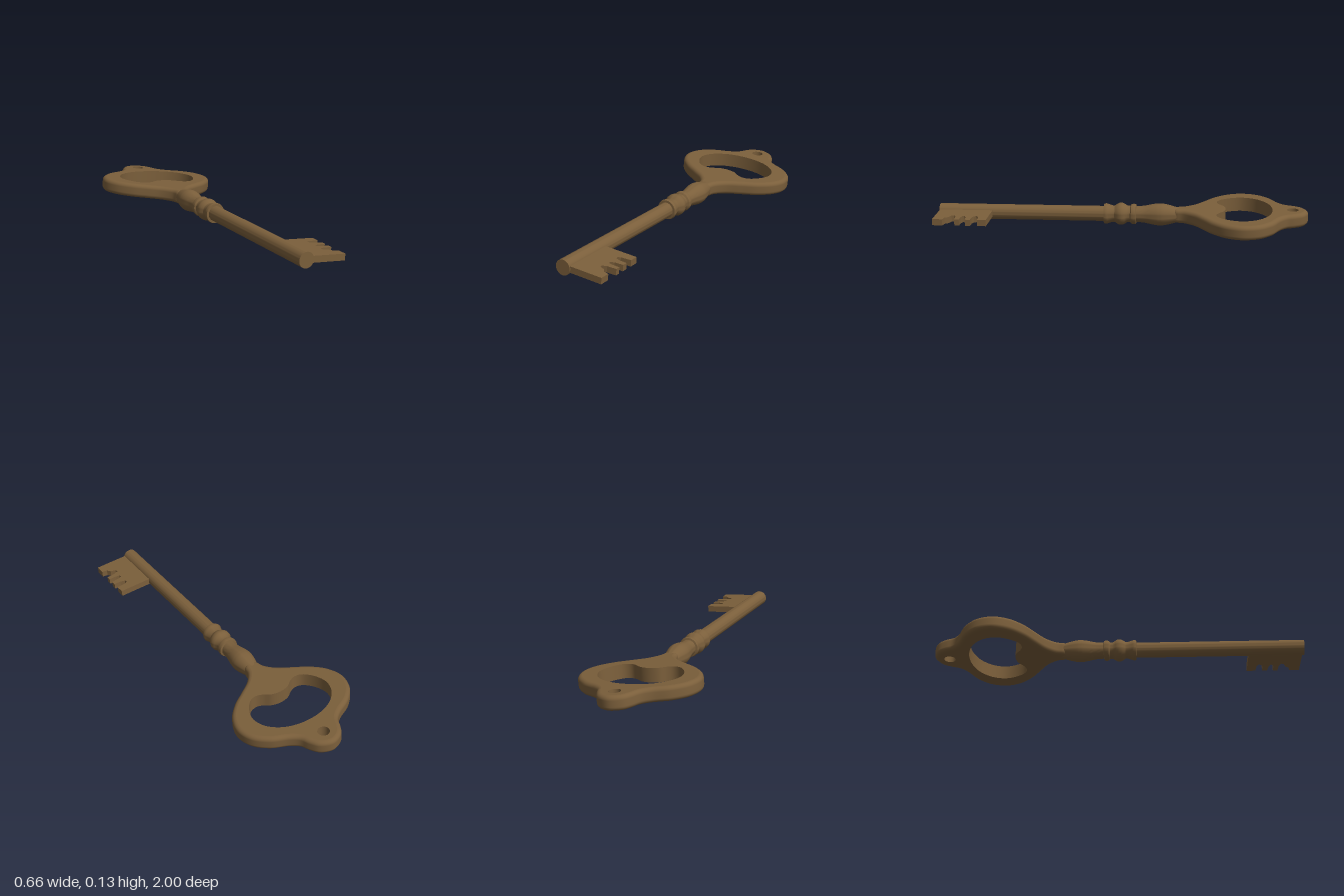
import * as THREE from 'three';
import { toCreasedNormals } from 'three/addons/utils/BufferGeometryUtils.js';

const AXIS_Y = 0.065, TILT = -0.087, HALF = 0.038, ROUND = 0.022;

// closed smooth loop through the right half of a symmetric outline, counter-clockwise
function mirroredLoop(half, count) {
  const left = half.filter(p => p[0] > 0.001).reverse().map(([x, y]) => [-x, y]);
  const pts = [...half, ...left].map(([x, y]) => new THREE.Vector3(x, y, 0));
  const loop = new THREE.CatmullRomCurve3(pts, true, 'centripetal').getSpacedPoints(count);
  loop.pop();
  return loop.map(p => new THREE.Vector2(p.x, p.y));
}

// move a counter-clockwise loop inwards
function inset(loop, d) {
  const n = loop.length;
  return loop.map((p, i) => {
    const t = loop[(i + 1) % n].clone().sub(loop[(i + n - 1) % n]).normalize();
    return new THREE.Vector2(p.x - t.y * d, p.y + t.x * d);
  });
}

// skin through a stack of loops, each { loop, z }
function loft(rings) {
  const pos = [], idx = [], n = rings[0].loop.length;
  rings.forEach(({ loop, z }) => loop.forEach(p => pos.push(p.x, p.y, z)));
  for (let r = 0; r < rings.length - 1; r++) {
    for (let i = 0; i < n; i++) {
      const j = (i + 1) % n, a = r * n + i, b = r * n + j;
      idx.push(a, b, b + n, a, b + n, a + n);
    }
  }
  const g = new THREE.BufferGeometry();
  g.setAttribute('position', new THREE.Float32BufferAttribute(pos, 3));
  g.setIndex(idx);
  g.computeVertexNormals();
  return g;
}

export function createModel() {
  const brass = new THREE.MeshStandardMaterial({ color: 0x7b5f3b });
  brass.name = 'aged brass';
  const model = new THREE.Group();
  model.name = 'key';
  const body = new THREE.Group();
  body.name = 'keyBody';
  body.position.y = AXIS_Y;
  body.rotation.z = TILT;
  model.add(body);

  const add = (name, geometry, parent = body) => {
    const mesh = new THREE.Mesh(geometry, brass);
    mesh.name = name;
    parent.add(mesh);
    return mesh;
  };
  const turned = (name, profile) => {
    const g = new THREE.LatheGeometry(profile.map(([r, z]) => new THREE.Vector2(r, z)), 40);
    g.rotateX(Math.PI / 2);
    add(name, toCreasedNormals(g, 0.6));
  };

  // shaft with flat end
  turned('shaft', [[0.041, 0.05], [0.041, 1], [0, 1]]);

  // three turned collars
  turned('collars', [
    [0.042, -0.08], [0.053, -0.077], [0.056, -0.065], [0.053, -0.052], [0.045, -0.046],
    [0.045, -0.03], [0.054, -0.016], [0.06, -0.004], [0.06, 0.012], [0.054, 0.025],
    [0.045, 0.038], [0.045, 0.05], [0.053, 0.075], [0.056, 0.084], [0.053, 0.096], [0.041, 0.097],
  ]);

  // swelling neck that tapers into the bow
  const neckCurve = new THREE.SplineCurve([
    [0.012, -0.4], [0.03, -0.34], [0.042, -0.295], [0.054, -0.25], [0.06, -0.21],
    [0.056, -0.17], [0.046, -0.12], [0.043, -0.07],
  ].map(p => new THREE.Vector2(...p)));
  turned('neck', neckCurve.getPoints(28).map(p => [p.x, p.y]));

  // bow: plan drawn in xy, then laid flat
  const bow = new THREE.Group();
  bow.name = 'bow';
  bow.rotation.x = -Math.PI / 2;
  body.add(bow);

  const outer = mirroredLoop([
    [0, 0.27], [0.036, 0.285], [0.048, 0.33], [0.09, 0.385], [0.16, 0.435], [0.235, 0.487],
    [0.3, 0.56], [0.328, 0.645], [0.306, 0.735], [0.24, 0.805], [0.155, 0.85],
    [0.115, 0.885], [0.098, 0.925], [0.066, 0.973], [0, 1],
  ], 160);
  const window = mirroredLoop([
    [0, 0.56], [0.05, 0.55], [0.085, 0.525], [0.12, 0.512], [0.16, 0.522], [0.205, 0.575],
    [0.226, 0.645], [0.205, 0.715], [0.15, 0.77], [0.08, 0.8], [0, 0.81],
  ], 110);
  const eyelet = new THREE.Path().absarc(0, 0.918, 0.031, 0, Math.PI * 2).getPoints(16).slice(0, -1);

  // rounded outer rim
  const rings = [];
  for (const side of [-1, 1]) {
    for (let k = 0; k <= 5; k++) {
      const a = (side < 0 ? 5 - k : k) / 5 * Math.PI / 2;
      rings.push({
        loop: inset(outer, ROUND * (1 - Math.cos(a))),
        z: side * (HALF - ROUND + ROUND * Math.sin(a)),
      });
    }
  }
  add('bowRim', loft(rings), bow);

  // flat faces and hole walls
  const plan = new THREE.Shape(inset(outer, ROUND));
  plan.holes.push(new THREE.Path(window), new THREE.Path(eyelet));
  add('bowTop', new THREE.ShapeGeometry(plan).translate(0, 0, HALF), bow);
  add('bowBottom', new THREE.ShapeGeometry(plan).rotateY(Math.PI).translate(0, 0, -HALF), bow);
  for (const [name, loop] of [['windowWall', window], ['eyeletWall', eyelet]]) {
    const inward = [...loop].reverse();
    add(name, loft([{ loop: inward, z: -HALF }, { loop: inward, z: HALF }]), bow);
  }

  // toothed bit, outline as [x, z]
  const bitOutline = [
    [0.02, 0.995], [0.02, 0.705], [0.221, 0.705], [0.221, 0.752], [0.165, 0.758], [0.152, 0.768],
    [0.156, 0.782], [0.182, 0.79], [0.221, 0.79], [0.221, 0.818], [0.175, 0.823], [0.154, 0.833],
    [0.158, 0.845], [0.18, 0.85], [0.221, 0.85], [0.221, 0.875], [0.17, 0.879], [0.146, 0.89],
    [0.15, 0.905], [0.178, 0.915], [0.192, 0.935], [0.221, 0.94], [0.221, 0.995],
  ];
  const bitShape = new THREE.Shape(bitOutline.map(([x, z]) => new THREE.Vector2(x, -z)));
  const bit = new THREE.ExtrudeGeometry(bitShape, { depth: 0.034, bevelEnabled: false });
  bit.translate(0, 0, -0.017).rotateX(-Math.PI / 2);
  add('bit', bit);

  return model;
}
